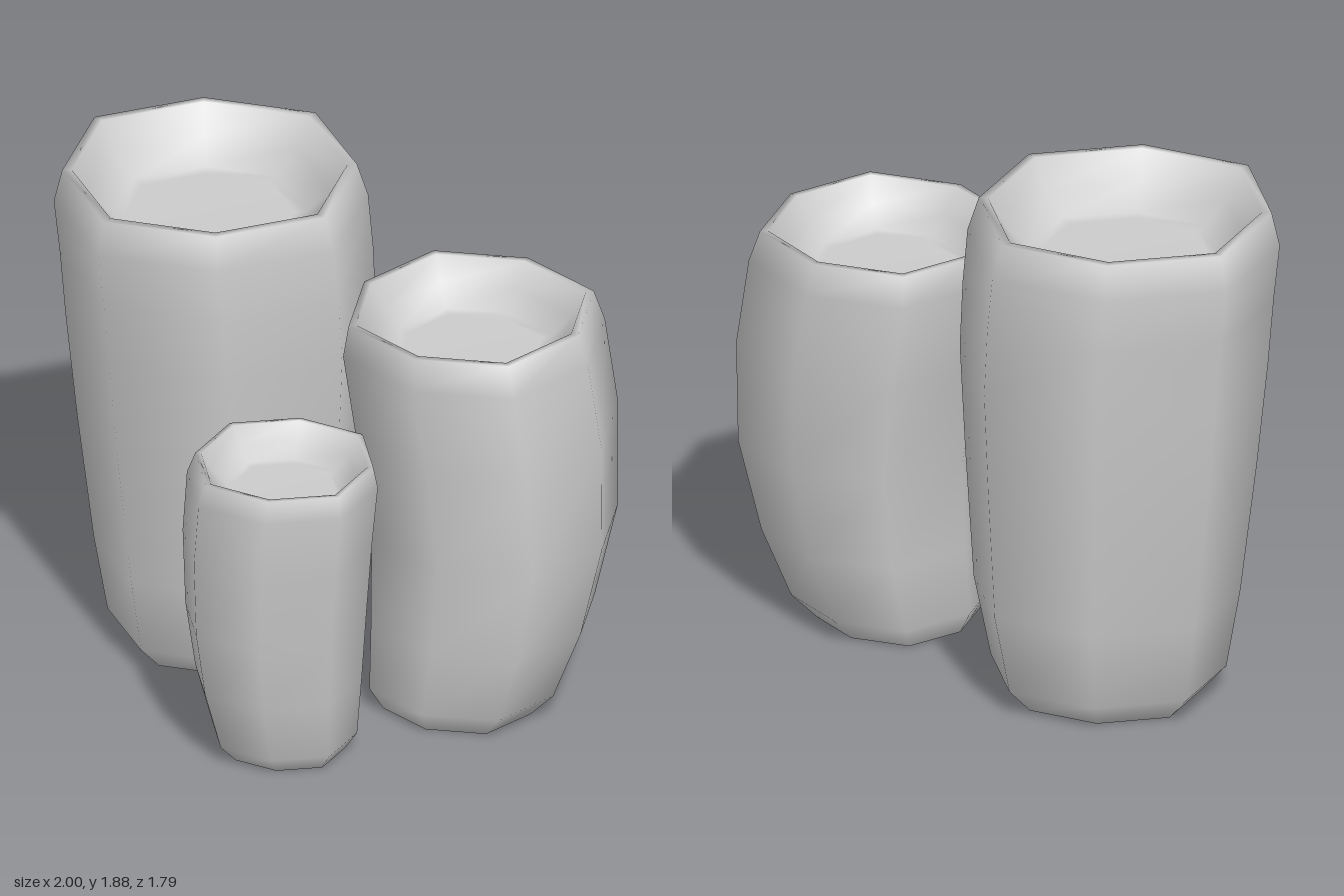
import * as THREE from 'three';

const SIDES = 8;

// Top of every pot as [drop, radius], both relative to the rim radius:
// flat rim, sloping inner wall, level floor
const SUNKEN_TOP = [[0, 0.935], [0.2, 0.82], [0.35, 0.66], [0.36, 0.58], [0.36, 0]];

// One leaning pot, open below: a smooth skin through eight-sided rings given
// as [y, centreX, centreZ, halfWidth]; every other corner is scaled by altScale
function makePot(name, wall, turn, altScale, material) {
  const [topY, topX, topZ, topR] = wall[wall.length - 1];
  const rings = wall.concat(
    SUNKEN_TOP.map(([drop, s]) => [topY - drop * topR, topX, topZ, topR * s]),
  );
  const positions = [], index = [];
  rings.forEach(([y, cx, cz, halfWidth], i) => {
    const r = halfWidth / Math.cos(turn);
    for (let j = 0; j < SIDES; j++) {
      const a = turn + (j / SIDES) * Math.PI * 2;
      const rr = j % 2 ? r * altScale : r;
      positions.push(cx + rr * Math.cos(a), y, cz + rr * Math.sin(a));
      if (i === rings.length - 1) continue;
      const k = (j + 1) % SIDES, p = i * SIDES, q = p + SIDES;
      index.push(p + j, q + j, p + k, q + j, q + k, p + k);
    }
  });
  const geometry = new THREE.BufferGeometry();
  geometry.setAttribute('position', new THREE.Float32BufferAttribute(positions, 3));
  geometry.setIndex(index);
  geometry.computeVertexNormals();
  const mesh = new THREE.Mesh(geometry, material);
  mesh.name = name;
  return mesh;
}

export function createModel() {
  const material = new THREE.MeshStandardMaterial({ color: 0xcccccc, side: THREE.DoubleSide });
  const model = new THREE.Group();
  model.name = 'potCluster';

  model.add(makePot('tallPot', [
    [0, -0.385, -0.335, 0.335], [0.1, -0.386, -0.336, 0.424], [0.4, -0.38, -0.33, 0.48],
    [0.9, -0.395, -0.335, 0.525], [1.3, -0.405, -0.33, 0.555], [1.55, -0.42, -0.33, 0.56],
    [1.76, -0.44, -0.333, 0.562], [1.885, -0.445, -0.33, 0.527],
  ], 0, 1.06, material));

  model.add(makePot('mediumPot', [
    [0, 0.435, 0.195, 0.285], [0.09, 0.455, 0.195, 0.355], [0.35, 0.51, 0.19, 0.405],
    [0.7, 0.552, 0.187, 0.445], [1.1, 0.527, 0.163, 0.473], [1.43, 0.48, 0.147, 0.473],
    [1.545, 0.47, 0.142, 0.443],
  ], -0.255, 0.945, material));

  model.add(makePot('smallPot', [
    [0, -0.205, 0.52, 0.205], [0.07, -0.213, 0.523, 0.257], [0.3, -0.235, 0.53, 0.295],
    [0.55, -0.245, 0.535, 0.32], [0.85, -0.24, 0.545, 0.335], [1.09, -0.222, 0.555, 0.338],
    [1.17, -0.215, 0.558, 0.315],
  ], 0.22, 1.055, material));

  return model;
}
